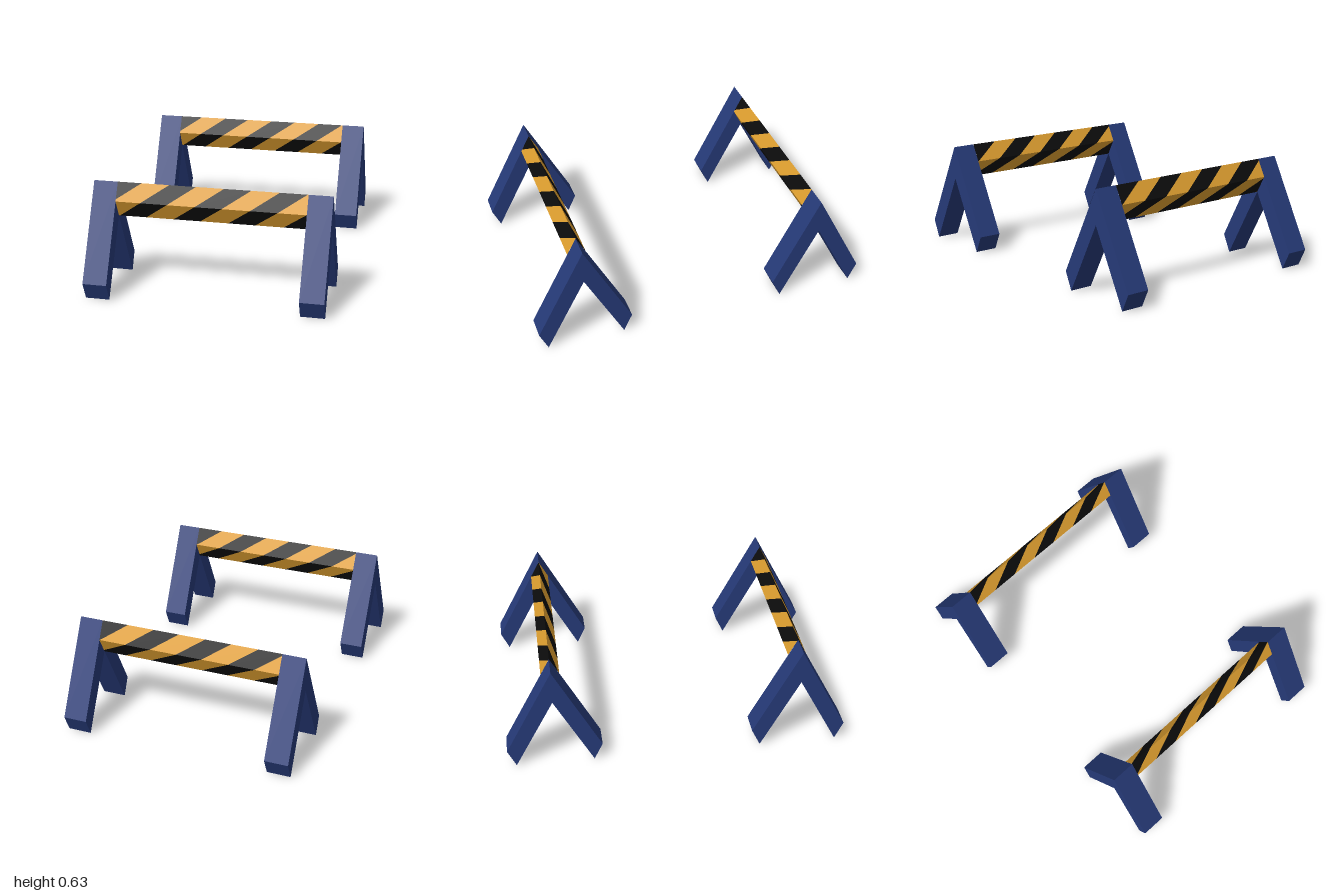
import * as THREE from 'three';

const blue = new THREE.MeshStandardMaterial({ name: 'blue paint', color: 0x263a78 });
const yellow = new THREE.MeshStandardMaterial({ name: 'warning yellow', color: 0xe0a030 });
const black = new THREE.MeshStandardMaterial({ name: 'stripe black', color: 0x0c0c0c });

const HALF = 0.55; // half length of the bar
const LEG = 0.14; // leg thickness along x
const PERIOD = 0.318; // spacing of the stripes
const WIDTH = 0.156; // width of a black stripe

// A-shaped trestle leg, profile in (z, y)
function makeLeg(x, name) {
  const profile = [[0, 0.635], [-0.278, 0.105], [-0.228, 0], [0, 0.431], [0.228, 0], [0.278, 0.105]];
  const shape = new THREE.Shape(profile.map(([z, y]) => new THREE.Vector2(z, y)));
  const geo = new THREE.ExtrudeGeometry(shape, { depth: LEG, bevelEnabled: false });
  geo.translate(0, 0, -LEG / 2).rotateY(-Math.PI / 2);
  const leg = new THREE.Mesh(geo, blue);
  leg.position.x = x;
  leg.name = name;
  return leg;
}

// Cut a polygon of [x, t] points at x = limit; sign +1 keeps x below it
function clip(poly, limit, sign) {
  const out = [];
  poly.forEach((p, i) => {
    const q = poly[(i + 1) % poly.length];
    const dp = sign * (limit - p[0]);
    const dq = sign * (limit - q[0]);
    if (dp >= 0) out.push(p);
    if (dp * dq < 0) {
      const k = dp / (dp - dq);
      out.push([limit, p[1] + k * (q[1] - p[1])]);
    }
  });
  return out;
}

// Bar edges around the diamond section: z, y and the start of a black stripe
const EDGES = [
  [-0.054, 0.533, -0.406], // back
  [0, 0.635, -0.565], // ridge
  [0.054, 0.533, -0.724], // front
  [0, 0.431, -0.86], // bottom
  [-0.054, 0.533, -1.042], // back again
];

// All stripes of one colour, wound around the four faces of the bar
function makeStripes(shift, width, material, name) {
  const pos = [];
  for (let f = 0; f < 4; f++) {
    const [za, ya, a] = EDGES[f];
    const [zb, yb, b] = EDGES[f + 1];
    const at = ([x, t]) => [x, ya + (yb - ya) * t, za + (zb - za) * t];
    for (let n = -2; n < 7; n++) {
      const s = n * PERIOD + shift;
      const e = s + width;
      let poly = [[s + b, 1], [e + b, 1], [e + a, 0], [s + a, 0]];
      poly = clip(clip(poly, HALF, 1), -HALF, -1);
      for (let i = 1; i + 1 < poly.length; i++) {
        pos.push(...at(poly[0]), ...at(poly[i]), ...at(poly[i + 1]));
      }
    }
  }
  const geo = new THREE.BufferGeometry();
  geo.setAttribute('position', new THREE.Float32BufferAttribute(pos, 3));
  geo.computeVertexNormals();
  const mesh = new THREE.Mesh(geo, material);
  mesh.name = name;
  return mesh;
}

function makeBarrier(z, name) {
  const barrier = new THREE.Group();
  barrier.name = name;
  const bar = new THREE.Group();
  bar.name = 'crossBar';
  bar.add(
    makeStripes(0, WIDTH, black, 'blackStripes'),
    makeStripes(WIDTH, PERIOD - WIDTH, yellow, 'yellowStripes')
  );
  const x = HALF + LEG / 2;
  barrier.add(bar, makeLeg(x, 'leftLeg'), makeLeg(-x, 'rightLeg'));
  barrier.position.z = z;
  return barrier;
}

export function createModel() {
  const model = new THREE.Group();
  model.name = 'barriers';
  model.add(makeBarrier(0.722, 'frontBarrier'), makeBarrier(-0.722, 'rearBarrier'));
  return model;
}
